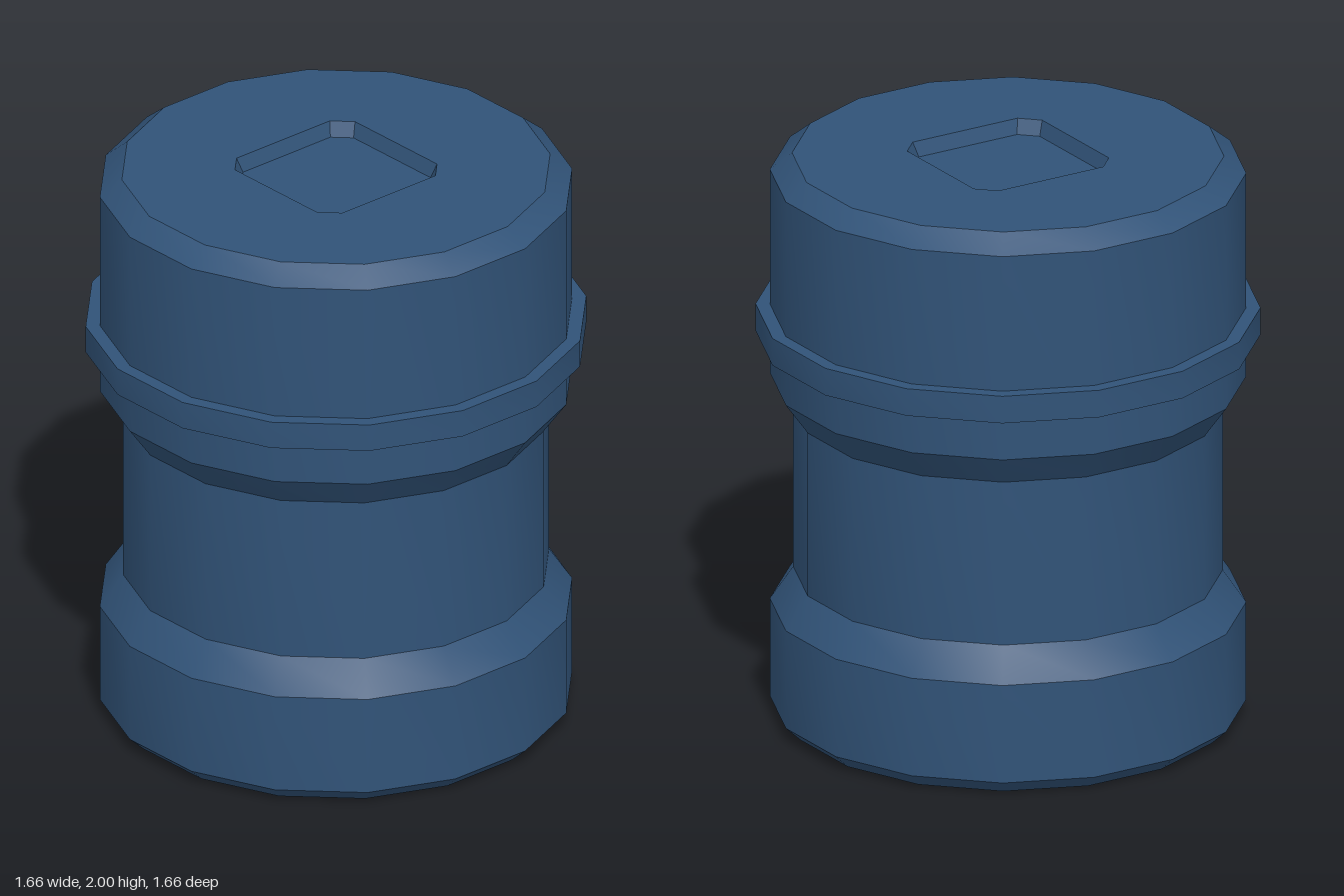
import * as THREE from 'three';
import { toCreasedNormals } from 'three/addons/utils/BufferGeometryUtils.js';

const SIDES = 16;
const HALF_STEP = Math.PI / SIDES;
const TOP = 2;
const RECESS_DEPTH = 0.05;

// Converts a distance to the flat side into a corner radius
const corner = (apothem) => apothem / Math.cos(HALF_STEP);

// Sixteen-sided turned part; profile is [flat distance, height], bottom to top
function turned(profile) {
  const points = profile.map(([r, y]) => new THREE.Vector2(corner(r), y));
  return toCreasedNormals(new THREE.LatheGeometry(points, SIDES, HALF_STEP), 0.5);
}

// Square outline with cut corners, counter-clockwise
function cutSquare(half, cut) {
  const c = half - cut;
  return [
    [half, -c], [half, c], [c, half], [-c, half],
    [-half, c], [-half, -c], [-c, -half], [c, -half],
  ].map(([x, y]) => new THREE.Vector2(x, y));
}

// Flat, upward-facing plate at a given height
function plate(shape, y) {
  return new THREE.ShapeGeometry(shape).rotateX(-Math.PI / 2).translate(0, y, 0);
}

// Sloping walls joining the upper rim to the lower floor, facing inward
function recessWalls(rim, floor) {
  const pos = [];
  const up = (p) => [p.x, TOP, -p.y];
  const low = (p) => [p.x, TOP - RECESS_DEPTH, -p.y];
  rim.forEach((p, i) => {
    const j = (i + 1) % rim.length;
    pos.push(...up(p), ...up(rim[j]), ...low(floor[j]));
    pos.push(...up(p), ...low(floor[j]), ...low(floor[i]));
  });
  const geo = new THREE.BufferGeometry();
  geo.setAttribute('position', new THREE.Float32BufferAttribute(pos, 3));
  geo.computeVertexNormals();
  return geo;
}

export function createModel() {
  const group = new THREE.Group();
  const blue = new THREE.MeshStandardMaterial({ color: 0x315378 });
  blue.name = 'navy blue';
  const add = (name, geometry) => {
    const mesh = new THREE.Mesh(geometry, blue);
    mesh.name = name;
    group.add(mesh);
  };

  // Waisted body with chamfered ends
  add('body', turned([
    [0.73, 0], [0.783, 0.05], [0.783, 0.4], [0.706, 0.515],
    [0.706, 1.1], [0.783, 1.21], [0.783, 1.94], [0.71, TOP],
  ]));

  // Raised band round the upper section
  add('band', turned([[0.78, 1.36], [0.83, 1.36], [0.83, 1.457], [0.78, 1.457]]));

  // Underside
  add('base', new THREE.CircleGeometry(corner(0.73), SIDES, HALF_STEP).rotateX(Math.PI / 2));

  // Lid with a square socket sunk into it
  const rim = cutSquare(0.268, 0.06);
  const floor = cutSquare(0.25, 0.055);
  const lid = new THREE.Shape(Array.from({ length: SIDES }, (_, i) => {
    const a = HALF_STEP * (2 * i + 1);
    return new THREE.Vector2(Math.cos(a), Math.sin(a)).multiplyScalar(corner(0.71));
  }));
  lid.holes.push(new THREE.Path(rim));
  add('lid', plate(lid, TOP));
  add('socketWalls', recessWalls(rim, floor));
  add('socketFloor', plate(new THREE.Shape(floor), TOP - RECESS_DEPTH));

  return group;
}
